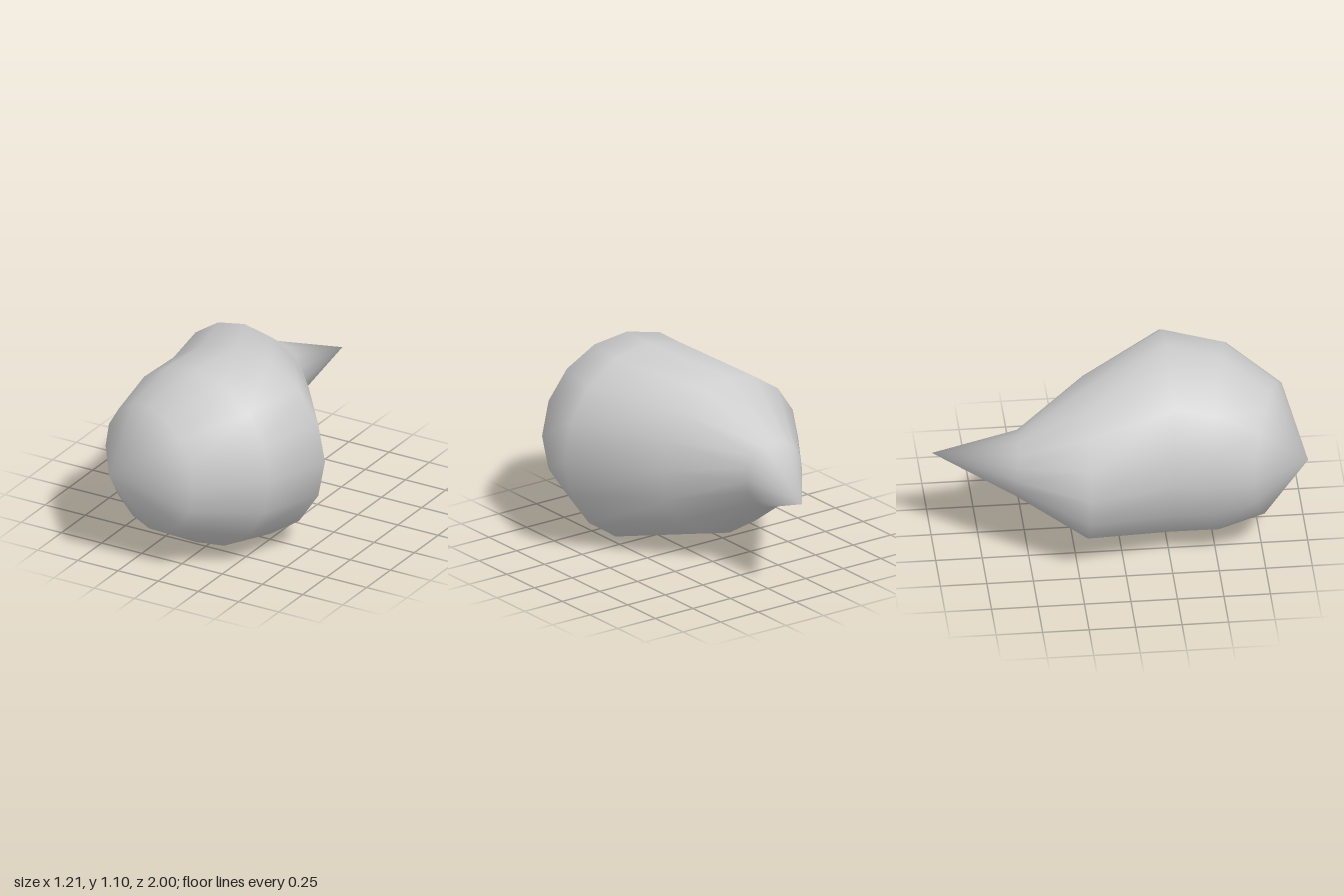
import * as THREE from 'three';

const SIDES = 16;
const CENTRE_Y = 0.552;

// Cross-sections from tail to nose: right end (x, z), left end (x, z), half height
const SECTIONS = [
  [-0.04, -1.0, -0.04, -1.0, 0],
  [-0.36, -0.567, -0.012, -0.543, 0.186],
  [-0.605, -0.2, 0.28, -0.165, 0.445],
  [-0.5, 0.27, 0.603, 0.267, 0.552],
  [-0.532, 0.475, 0.478, 0.64, 0.51],
  [-0.51, 0.692, 0.172, 0.926, 0.36],
  [-0.307, 0.997, -0.307, 0.997, 0],
];

// Skin of a bent teardrop: closed rings joined by quads, pointed at both ends
function bodyGeometry() {
  const positions = [];
  const index = [];
  const starts = [];
  for (const [x0, z0, x1, z1, h] of SECTIONS) {
    starts.push(positions.length / 3);
    const count = h === 0 ? 1 : SIDES;
    for (let j = 0; j < count; j++) {
      const a = (j / SIDES) * Math.PI * 2;
      const c = Math.cos(a) / 2;
      positions.push(
        (x0 + x1) / 2 + c * (x1 - x0),
        CENTRE_Y + Math.sin(a) * h,
        (z0 + z1) / 2 + c * (z1 - z0)
      );
    }
  }
  const at = (i, j) => starts[i] + (SECTIONS[i][4] === 0 ? 0 : j % SIDES);
  const last = SECTIONS.length - 1;
  for (let i = 0; i < last; i++) {
    for (let j = 0; j < SIDES; j++) {
      if (i > 0) index.push(at(i, j), at(i, j + 1), at(i + 1, j));
      if (i < last - 1) index.push(at(i, j + 1), at(i + 1, j + 1), at(i + 1, j));
    }
  }
  const geometry = new THREE.BufferGeometry();
  geometry.setAttribute('position', new THREE.Float32BufferAttribute(positions, 3));
  geometry.setIndex(index);
  geometry.computeVertexNormals();
  return geometry;
}

export function createModel() {
  const group = new THREE.Group();
  group.name = 'bentTeardrop';
  const body = new THREE.Mesh(
    bodyGeometry(),
    new THREE.MeshStandardMaterial({ color: 0xcccccc })
  );
  body.name = 'body';
  group.add(body);
  return group;
}
